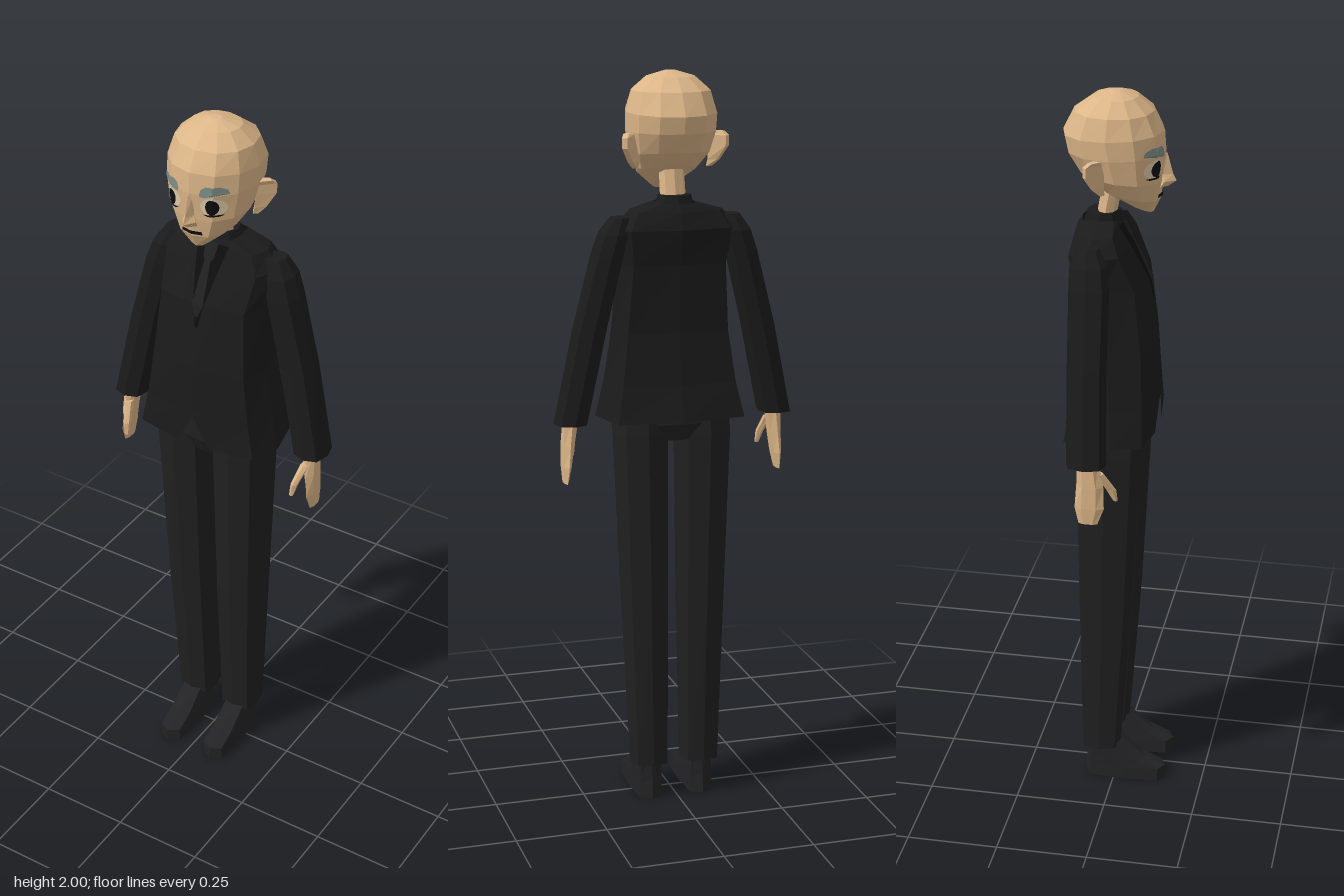
import * as THREE from 'three';

const mat = (name, color) => Object.assign(new THREE.MeshStandardMaterial({ color }), { name });

export function createModel() {
  const skin = mat('skin', 0xdcb688);
  const suit = mat('suit', 0x1b1b1c);
  const cloth = mat('trousers', 0x202021);
  const leather = mat('shoe leather', 0x232325);
  const black = mat('black', 0x0e0e0f);
  const browGrey = mat('brow grey', 0x7c8c86);
  const eyeCream = mat('eye cream', 0xe2cfae);
  suit.side = THREE.DoubleSide;

  const model = new THREE.Group();
  const add = (name, geo, material) => {
    const mesh = new THREE.Mesh(geo, material);
    mesh.name = name;
    model.add(mesh);
    return mesh;
  };

  // Faceted geometry from a list of points and triangle indices
  const faceted = (pts, index) => {
    const g = new THREE.BufferGeometry();
    g.setAttribute('position', new THREE.Float32BufferAttribute(pts.flat(), 3));
    g.setIndex(index);
    const flat = g.toNonIndexed();
    flat.computeVertexNormals();
    return flat;
  };

  // Skin over rings listed from bottom to top; side -1 mirrors in x
  const loft = (rings, side = 1, caps = true) => {
    const n = rings[0].length, idx = [];
    const pts = rings.flatMap(r => {
      const m = r.map(([x, y, z]) => [x * side, y, z]);
      return side < 0 ? m.reverse() : m;
    });
    for (let i = 0; i < rings.length - 1; i++)
      for (let j = 0; j < n; j++) {
        const a = i * n + j, b = i * n + (j + 1) % n;
        idx.push(a, b, b + n, a, b + n, a + n);
      }
    const top = (rings.length - 1) * n;
    if (caps) for (let j = 1; j < n - 1; j++) idx.push(0, j + 1, j, top, top + j, top + j + 1);
    return faceted(pts, idx);
  };

  // Horizontal ring; p below 1 squares it off, tilt raises the front
  const ring = (y, cx, hx, zf, zb, n = 8, p = 1, tilt = 0) =>
    Array.from({ length: n }, (_, i) => {
      const a = (i / n) * Math.PI * 2;
      const pw = v => (Math.abs(v) < 1e-6 ? 0 : Math.sign(v) * Math.abs(v) ** p);
      const c = pw(Math.cos(a));
      return [cx + hx * pw(Math.sin(a)), y + tilt * c, (zf + zb) / 2 + ((zf - zb) / 2) * c];
    });

  // Thin patch laid on the front of a mesh; rows are [y, x start, x end], rising
  const ray = new THREE.Raycaster();
  const drape = (name, target, rows, material, lift) => {
    const N = 6, pts = [], idx = [];
    let z = 0;
    rows.forEach(([y, x0, x1], r) => {
      for (let i = 0; i <= N; i++) {
        const x = x0 + ((x1 - x0) * i) / N;
        ray.set(new THREE.Vector3(x, y, 2), new THREE.Vector3(0, 0, -1));
        const hit = ray.intersectObject(target)[0];
        if (hit) z = hit.point.z;
        pts.push([x, y, z + lift]);
        if (r && i) {
          const d = r * (N + 1) + i, c = d - 1, b = d - N - 1, a = b - 1;
          idx.push(a, b, d, a, d, c);
        }
      }
    });
    return add(name, faceted(pts, idx), material);
  };
  const ellipseRows = (cx, cy, rx, ry) => [-1, -0.75, -0.35, 0, 0.35, 0.75, 1].map(t => {
    const w = rx * Math.max(0.2, Math.sqrt(1 - t * t));
    return [cy + ry * t, cx - w, cx + w];
  });

  // Head: y, half width, front z, back z, tilt
  const head = add('head', loft([
    [1.70, 0.032, 0.088, 0.0, -0.018],
    [1.737, 0.08, 0.106, -0.06, -0.018],
    [1.782, 0.108, 0.114, -0.105, -0.012],
    [1.845, 0.12, 0.12, -0.138, 0],
    [1.895, 0.121, 0.116, -0.148, 0.005],
    [1.95, 0.106, 0.09, -0.118, 0],
    [1.985, 0.066, 0.048, -0.07, 0],
    [2.0, 0.015, 0.005, -0.02, 0],
  ].map(([y, w, f, b, t]) => ring(y, 0, w, f, b, 12, 0.95, t))), skin);
  add('neck', loft([ring(1.62, 0, 0.036, -0.018, -0.07), ring(1.78, 0, 0.034, 0.012, -0.04)]), skin);
  add('nose', loft([
    ring(1.752, 0, 0.017, 0.125, 0.09, 4),
    ring(1.768, 0, 0.019, 0.147, 0.09, 4),
    ring(1.785, 0, 0.012, 0.138, 0.09, 4),
    ring(1.84, 0, 0.009, 0.123, 0.1, 4),
  ]), skin);
  drape('mouth', head, [[1.727, -0.03, 0.03], [1.737, -0.028, 0.028]], black, 0.004);

  // Jacket: y, side x, corner x, then z of front, front corner, side, back corner, back
  const jacketRings = [
    [1.085, 0.205, 0.175, 0.11, 0.09, 0.01, -0.12, -0.142],
    [1.18, 0.183, 0.156, 0.109, 0.086, 0.005, -0.1, -0.115],
    [1.32, 0.162, 0.138, 0.104, 0.08, -0.005, -0.086, -0.098],
    [1.5, 0.152, 0.125, 0.078, 0.06, -0.02, -0.096, -0.106],
    [1.595, 0.172, 0.135, 0.035, 0.02, -0.045, -0.11, -0.125],
    [1.64, 0.13, 0.11, 0.01, 0, -0.05, -0.095, -0.112],
    [1.662, 0.052, 0.045, 0, -0.008, -0.05, -0.09, -0.098],
  ].map(([y, w, c, zf, zfc, zs, zbc, zb], i) => {
    const m = Math.min(0.05, c * 0.5), zm = zf + (zfc - zf) * 0.3;
    const half = [[m, i ? y : 1.075, zm], [c, y, zfc], [w, y, zs], [c, y, zbc]];
    return [[0, i ? y : 1.172, zf], ...half, [0, y, zb],
      ...half.map(([x, h, z]) => [-x, h, z]).reverse()];
  });
  const jacket = add('jacket', loft(jacketRings, 1, false), suit);
  add('collar', loft([ring(1.63, 0, 0.06, 0.008, -0.1), ring(1.68, 0, 0.046, -0.004, -0.085)]), suit);
  drape('shirt', jacket, [1.44, 1.5, 1.56, 1.6, 1.65].map(y =>
    [y, -0.004 - (y - 1.44) * 0.2, 0.004 + (y - 1.44) * 0.2]), black, 0.004);
  drape('tie', jacket, [[1.47, -0.003, 0.003], [1.5, -0.016, 0.016], [1.56, -0.013, 0.013],
    [1.61, -0.009, 0.009], [1.62, -0.016, 0.016], [1.655, -0.019, 0.019]], cloth, 0.009);
  add('hips', loft([ring(1.025, 0, 0.12, 0.055, -0.09, 8, 0.6),
    ring(1.07, 0, 0.16, 0.073, -0.104, 8, 0.6), ring(1.2, 0, 0.15, 0.075, -0.09, 8, 0.6)]), cloth);

  for (const s of [1, -1]) {
    const side = s > 0 ? 'left' : 'right';
    const part = (name, rings, material) => add(side + name, loft(rings, s), material);
    const patch = (name, rows, material, lift) => drape(side + name, head,
      rows.map(([y, a, b]) => (s > 0 ? [y, a, b] : [y, -b, -a])), material, lift);

    // Face
    patch('Eye', ellipseRows(0.058, 1.814, 0.029, 0.025), eyeCream, 0.003);
    patch('EyeLower', [[1.787, 0.046, 0.072], [1.792, 0.036, 0.082]], black, 0.004);
    patch('Pupil', ellipseRows(0.058, 1.815, 0.015, 0.022), black, 0.006);
    patch('Brow', [[1.843, 0.032, 0.05], [1.852, 0.03, 0.094], [1.864, 0.034, 0.09],
      [1.872, 0.045, 0.075]], browGrey, 0.008);

    // Ear: slanted slab from the cheek outwards and back
    part('Ear', [[1.75, 0.006, 0.1], [1.768, 0.018, 0.104], [1.805, 0.034, 0.107],
      [1.832, 0.034, 0.108], [1.843, 0.022, 0.112]].map(([y, len, x]) => {
      const ox = x + len, oz = -0.03 - len * 1.1;
      return [[x, y, -0.022], [ox + 0.004, y, oz + 0.006], [ox - 0.008, y, oz - 0.004], [x - 0.012, y, -0.042]];
    }), skin);

    // Sleeve: y, centre x, half width, front z, back z
    part('Sleeve', [
      [1.08, 0.285, 0.045, 0.016, -0.09],
      [1.33, 0.233, 0.046, 0.008, -0.096],
      [1.53, 0.184, 0.043, 0.006, -0.1],
      [1.585, 0.168, 0.04, -0.002, -0.1],
      [1.627, 0.152, 0.025, -0.025, -0.085],
    ].map(([y, x, w, f, b]) => ring(y, x, w, f, b, 8, 0.75)), suit);

    // Hand
    part('Hand', [
      [0.915, 0.299, 0.006, -0.005, -0.055],
      [0.96, 0.296, 0.012, 0.012, -0.066],
      [1.02, 0.291, 0.017, 0.01, -0.062],
      [1.1, 0.283, 0.022, -0.005, -0.06],
    ].map(([y, x, w, f, b]) => ring(y, x, w, f, b, 6)), skin);
    part('Thumb', [
      [0.972, 0.264, 0.006, 0.043, 0.03],
      [1.005, 0.268, 0.01, 0.04, 0.012],
      [1.055, 0.282, 0.013, 0.01, -0.02],
    ].map(([y, x, w, f, b]) => ring(y, x, w, f, b, 6)), skin);

    // Trouser leg
    part('TrouserLeg', [
      [0.1, 0.072, 0.053, 0.015, -0.095],
      [0.55, 0.079, 0.063, 0.048, -0.1],
      [1.04, 0.087, 0.073, 0.073, -0.105],
      [1.12, 0.085, 0.073, 0.074, -0.1],
    ].map(([y, x, w, f, b]) => ring(y, x, w, f, b, 8, 0.65)), cloth);

    // Shoe
    part('Shoe', [
      [0, 0.073, 0.038, 0.146, -0.086],
      [0.038, 0.073, 0.037, 0.145, -0.084],
      [0.062, 0.073, 0.036, 0.085, -0.08],
      [0.12, 0.073, 0.033, 0.002, -0.076],
    ].map(([y, x, w, f, b]) => ring(y, x, w, f, b, 8, 0.5)), leather);
  }
  return model;
}
